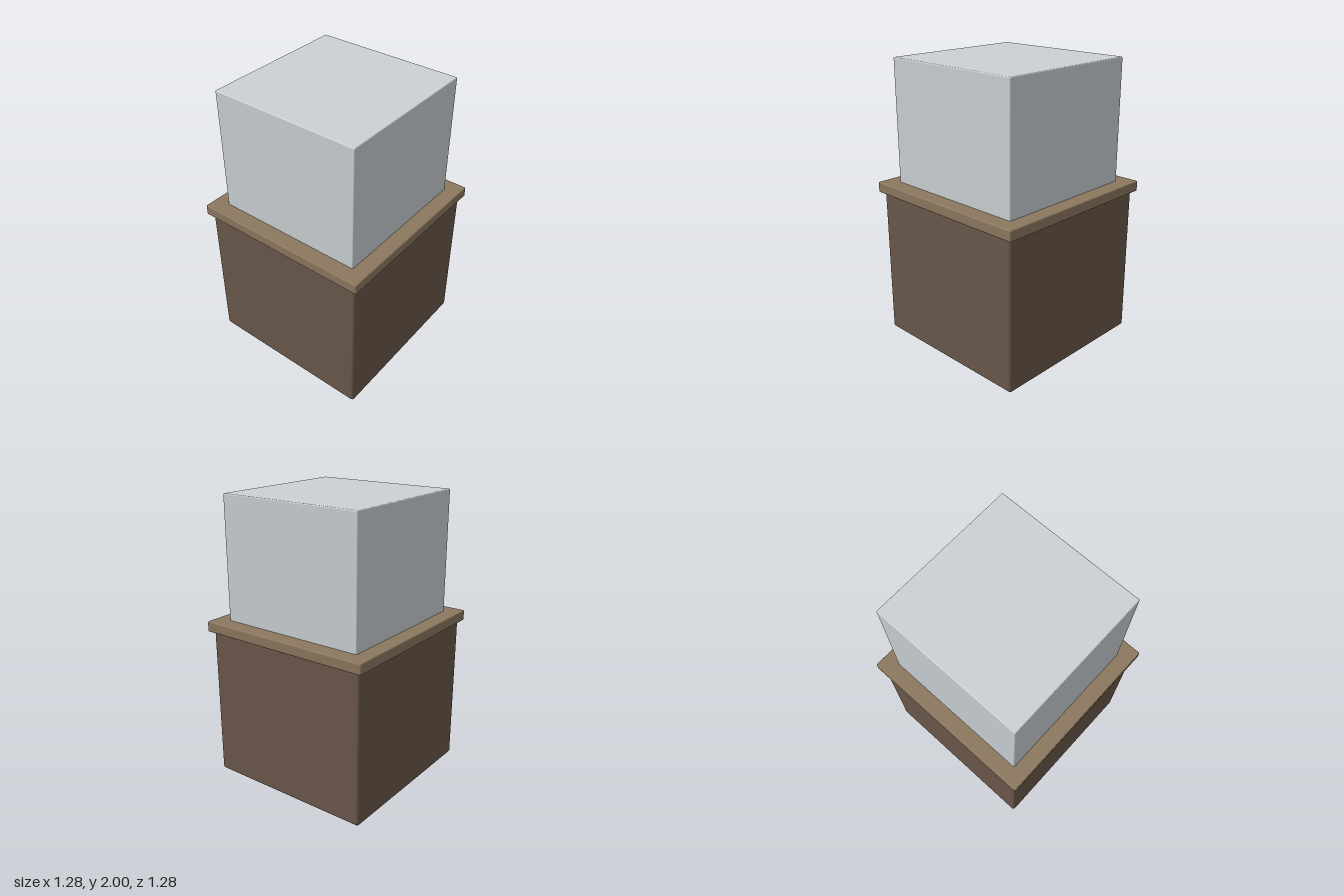
import * as THREE from 'three';
import { RoundedBoxGeometry } from 'three/addons/geometries/RoundedBoxGeometry.js';

// Square block with softened edges, spanning bottom..top
function block(name, width, bottom, top, radius, color) {
  const height = top - bottom;
  const mesh = new THREE.Mesh(
    new RoundedBoxGeometry(width, height, width, 3, radius),
    new THREE.MeshStandardMaterial({ color })
  );
  mesh.name = name;
  mesh.position.y = bottom + height / 2;
  return mesh;
}

export function createModel() {
  const model = new THREE.Group();
  model.name = 'displayCase';
  model.add(
    block('pedestal', 1.22, 0, 1.07, 0.02, 0x6b584b),
    block('pedestalTop', 1.28, 1.065, 1.14, 0.01, 0x8c785f),
    block('glassCover', 1.065, 1.13, 2, 0.008, 0xcbd1d5)
  );
  return model;
}
